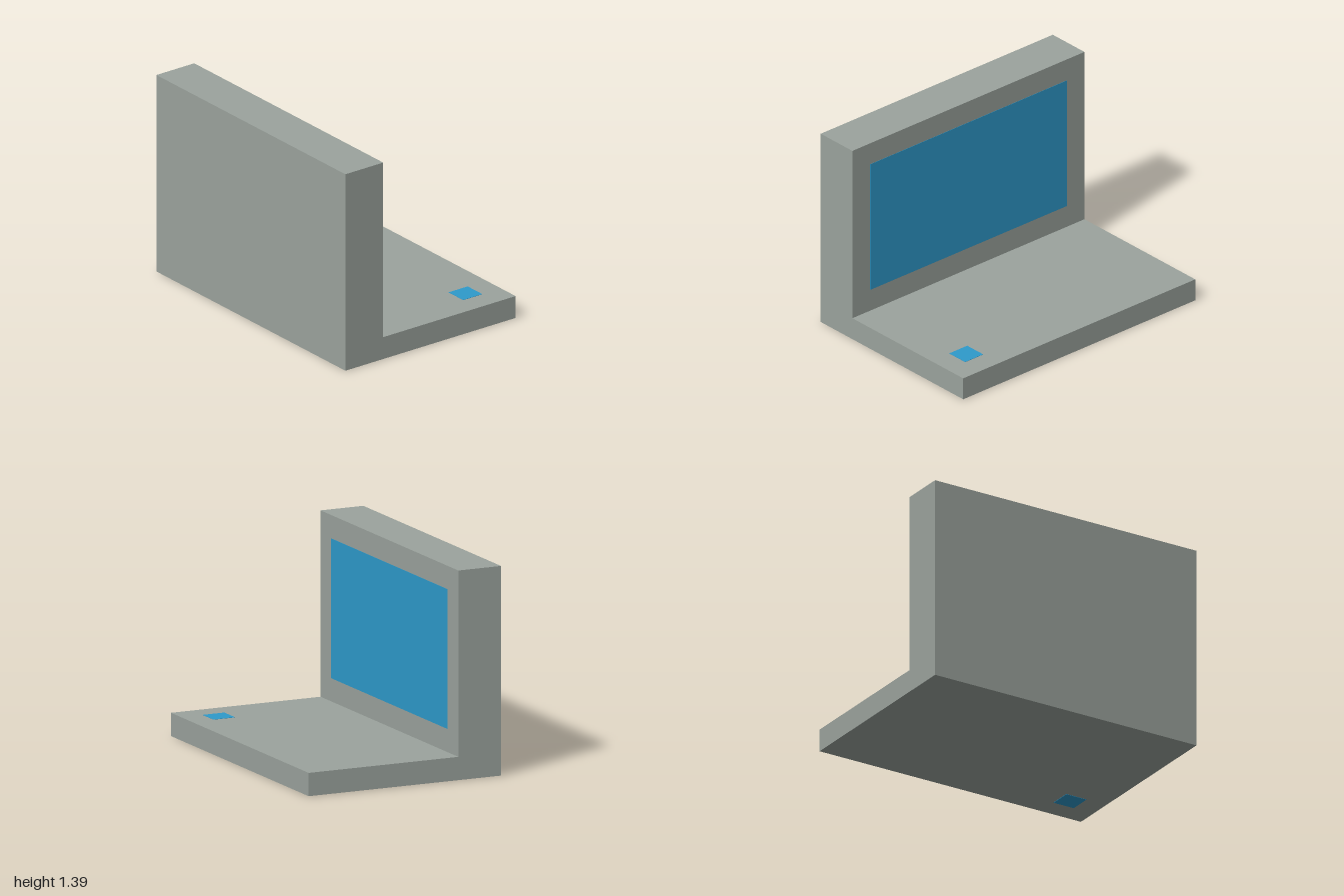
import * as THREE from 'three';

const U = 2 / 13; // grid module: 13 wide, 9 high, 9 deep

export function createModel() {
  const model = new THREE.Group();
  const casing = new THREE.MeshStandardMaterial({ name: 'casing grey', color: 0x9ba39d });
  const blue = new THREE.MeshStandardMaterial({ name: 'panel blue', color: 0x2e9acb });

  const add = (name, geometry, material, x = 0, y = 0, z = 0) => {
    const mesh = new THREE.Mesh(geometry, material);
    mesh.name = name;
    mesh.position.set(x, y, z);
    model.add(mesh);
  };

  // L-shaped casing: upright lid at the front, flat base behind, drawn in (z, y)
  const profile = new THREE.Shape(
    [[-4.5, 0], [4.5, 0], [4.5, 9], [2.5, 9], [2.5, 1], [-4.5, 1]]
      .map(([z, y]) => new THREE.Vector2(z * U, y * U))
  );
  const body = new THREE.ExtrudeGeometry(profile, { depth: 13 * U, bevelEnabled: false });
  body.translate(0, 0, -6.5 * U).rotateY(-Math.PI / 2);
  add('casing', body, casing);

  // Screen on the inner face of the lid
  const t = 0.004;
  add('screen', new THREE.BoxGeometry(11 * U, 6 * U, t), blue, 0, 5 * U, 2.5 * U);

  // Square key, showing on both the top and the underside of the base
  const key = new THREE.BoxGeometry(U, t, U);
  add('keyTop', key, blue, 5 * U, U, -3 * U);
  add('keyUnderside', key, blue, 5 * U, 0, -3 * U);

  return model;
}
